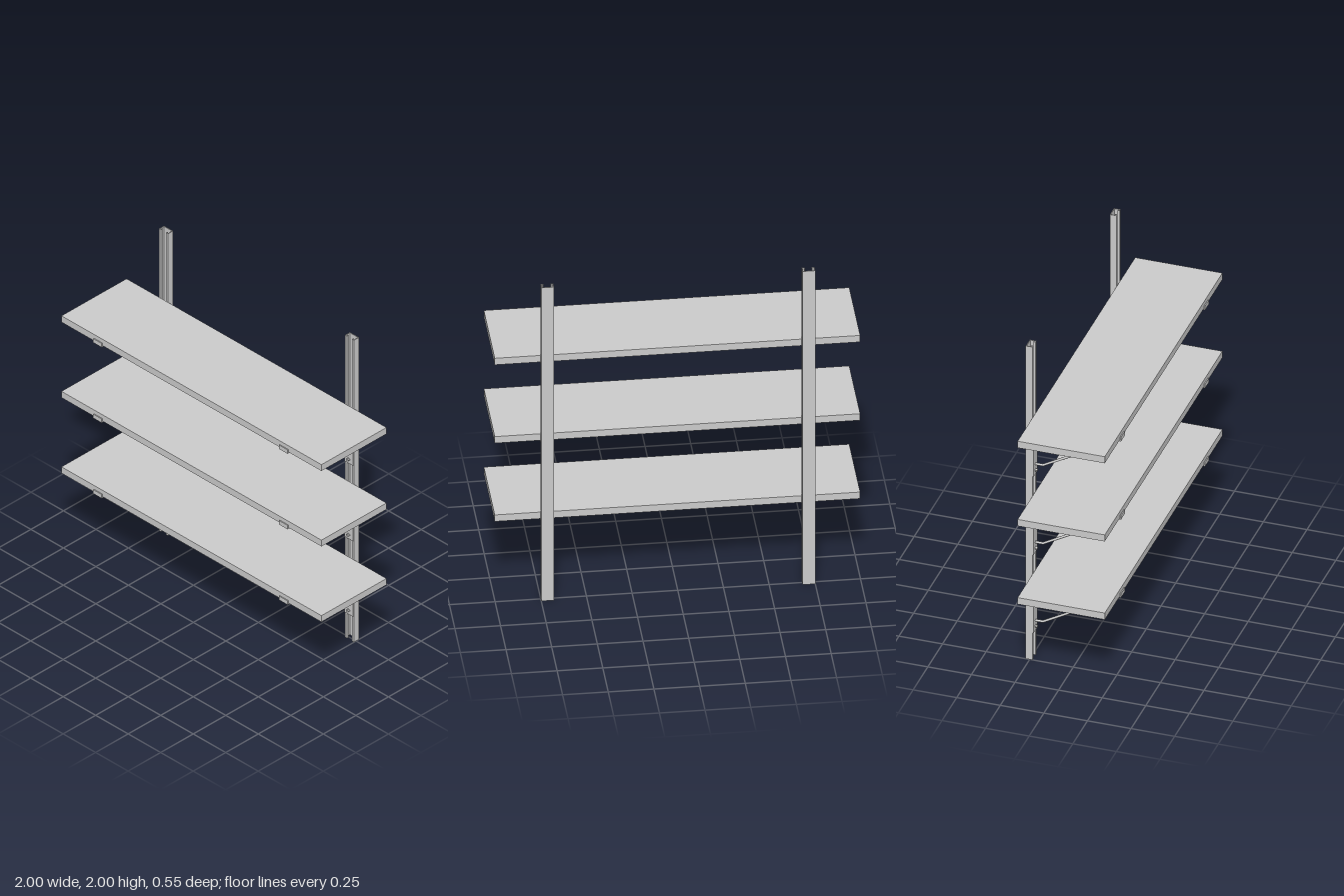
import * as THREE from 'three';

const grey = new THREE.MeshStandardMaterial({ color: 0xcccccc });

function add(parent, name, geometry, x = 0, y = 0, z = 0) {
  const mesh = new THREE.Mesh(geometry, grey);
  mesh.name = name;
  mesh.position.set(x, y, z);
  parent.add(mesh);
  return mesh;
}

// Lipped steel channel, open toward the front
function channelGeometry() {
  const w = 0.035, t = 0.004, back = -0.273, front = -0.234, slot = 0.019, lip = 0.012;
  const half = [
    [w, back], [w, front], [slot, front], [slot, front - lip],
    [slot + t, front - lip], [slot + t, front - t], [w - t, front - t], [w - t, back + t],
  ];
  const outline = [...half, ...half.map(([x, z]) => [-x, z]).reverse()];
  const shape = new THREE.Shape(outline.map(([x, z]) => new THREE.Vector2(x, -z)));
  return new THREE.ExtrudeGeometry(shape, { depth: 2, bevelEnabled: false }).rotateX(-Math.PI / 2);
}

// Straight round bars joined by balls along a path in the y-z plane
function addBrace(parent, points, radius) {
  const brace = new THREE.Group();
  brace.name = 'diagonalBrace';
  parent.add(brace);
  points.forEach((p, i) => {
    if (i > 0 && i < points.length - 1) add(brace, 'braceBend', new THREE.SphereGeometry(radius, 12, 8), p.x, p.y, p.z);
    if (i === 0) return;
    const dir = p.clone().sub(points[i - 1]);
    const bar = add(brace, 'braceBar', new THREE.CylinderGeometry(radius, radius, dir.length(), 12));
    bar.position.copy(p).addScaledVector(dir, -0.5);
    bar.quaternion.setFromUnitVectors(new THREE.Vector3(0, 1, 0), dir.normalize());
  });
}

// Bracket with its top face at y = 0: wall plate, arm, front lip, bolts and brace
function createBracket() {
  const bracket = new THREE.Group();
  bracket.name = 'bracket';
  add(bracket, 'wallPlate', new THREE.BoxGeometry(0.066, 0.328, 0.006), 0, -0.168, -0.231);
  add(bracket, 'arm', new THREE.BoxGeometry(0.066, 0.007, 0.505), 0, -0.0035, 0.0185);
  add(bracket, 'frontLip', new THREE.BoxGeometry(0.066, 0.026, 0.006), 0, 0.006, 0.27);
  for (const y of [-0.062, -0.305]) {
    add(bracket, 'washer', new THREE.CylinderGeometry(0.01, 0.01, 0.004, 20).rotateX(Math.PI / 2), 0, y, -0.226);
    add(bracket, 'boltHead', new THREE.CylinderGeometry(0.008, 0.008, 0.008, 6).rotateX(Math.PI / 2), 0, y, -0.22);
  }
  const path = [[-0.003, 0.2], [-0.05, 0.2], [-0.268, -0.185], [-0.268, -0.229]];
  addBrace(bracket, path.map(([y, z]) => new THREE.Vector3(0, y, z)), 0.007);
  return bracket;
}

export function createModel() {
  const model = new THREE.Group();
  model.name = 'wallShelf';
  const levels = [0.503, 1.003, 1.503];

  // Uprights with three brackets each
  for (const x of [-0.715, 0.715]) {
    add(model, 'upright', channelGeometry(), x);
    for (const y of levels) {
      const bracket = createBracket();
      bracket.position.set(x, y, 0);
      model.add(bracket);
    }
  }

  // Shelf boards
  for (const y of levels) add(model, 'shelfBoard', new THREE.BoxGeometry(2, 0.042, 0.5), 0, y + 0.021, 0.015);
  return model;
}
